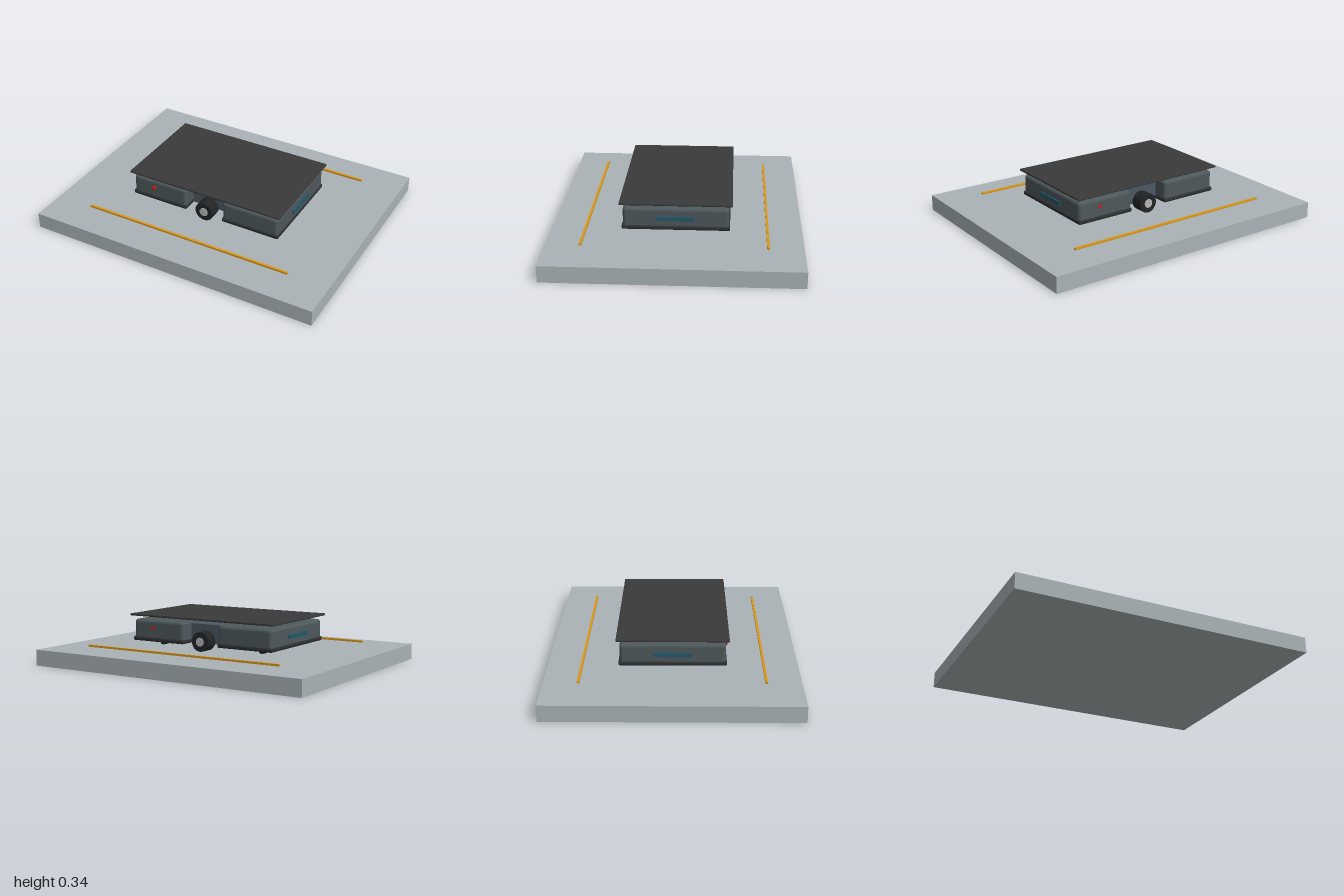
import * as THREE from 'three';
import { RoundedBoxGeometry } from 'three/addons/geometries/RoundedBoxGeometry.js';

const mat = (color) => new THREE.MeshStandardMaterial({ color });
const floorMat = mat(0xaab3b6);
const shellMat = mat(0x4e585b);
const coreMat = mat(0x4c5763);
const darkMat = mat(0x2e3032);
const deckMat = mat(0x3a3a3a);
const rubberMat = mat(0x222426);
const metalMat = mat(0xb4b8ba);
const amberMat = mat(0xd9981e);
const blueMat = mat(0x23586a);
const redMat = mat(0xc0241c);

export function createModel() {
  const model = new THREE.Group();

  const add = (name, geometry, material, x, y, z) => {
    const mesh = new THREE.Mesh(geometry, material);
    mesh.name = name;
    mesh.position.set(x, y, z);
    model.add(mesh);
    return mesh;
  };
  // Boxes are given by centre x/z, bottom and top heights
  const box = (name, material, w, d, y0, y1, x = 0, z = 0, radius = 0) => {
    const h = y1 - y0;
    const geometry = radius
      ? new RoundedBoxGeometry(w, h, d, 4, radius)
      : new THREE.BoxGeometry(w, h, d);
    return add(name, geometry, material, x, (y0 + y1) / 2, z);
  };
  // Discs lie with their axis along z
  const disc = (name, material, r, width, x, y, z) =>
    add(name, new THREE.CylinderGeometry(r, r, width, 32).rotateX(Math.PI / 2), material, x, y, z);

  // Floor slab and lane markers
  box('floorSlab', floorMat, 2, 1.6, 0, 0.107);
  for (const s of [-1, 1]) box('laneMarker', amberMat, 1.46, 0.016, 0.122, 0.135, 0, s * 0.577);

  // Narrow centre section between the two shells
  box('centreBody', coreMat, 0.32, 0.47, 0.155, 0.284);

  // Front-to-back mirrored halves: shell, bumper, lift pad and light panel
  for (const s of [-1, 1]) {
    box('bodyShell', shellMat, 0.4, 0.668, 0.16, 0.298, s * 0.336, 0, 0.022);
    box('bumper', darkMat, 0.408, 0.682, 0.153, 0.181, s * 0.337, 0, 0.01);
    box('liftPad', shellMat, 0.122, 0.384, 0.29, 0.322, s * 0.333);
    box('lightPanel', blueMat, 0.02, 0.238, 0.215, 0.242, s * 0.535);
  }

  // Load deck
  box('loadDeck', deckMat, 1.108, 0.71, 0.321, 0.335, 0, 0, 0.004);

  for (const s of [-1, 1]) {
    // Drive wheels with hubs and axles
    disc('driveWheel', rubberMat, 0.064, 0.084, 0, 0.179, s * 0.293);
    disc('wheelHub', metalMat, 0.029, 0.092, 0, 0.179, s * 0.295);
    disc('axle', darkMat, 0.018, 0.06, 0, 0.179, s * 0.24);

    // Casters with their mounts
    for (const x of [-0.39, 0.39]) {
      disc('casterWheel', rubberMat, 0.021, 0.048, x, 0.138, s * 0.185);
      box('casterMount', darkMat, 0.04, 0.048, 0.142, 0.16, x, s * 0.185);
    }
  }

  // Stop buttons, raised on the front and nearly flush on the back
  disc('stopButton', redMat, 0.014, 0.024, -0.378, 0.243, 0.336);
  disc('rearStopButton', redMat, 0.014, 0.008, 0.378, 0.243, -0.332);

  return model;
}
